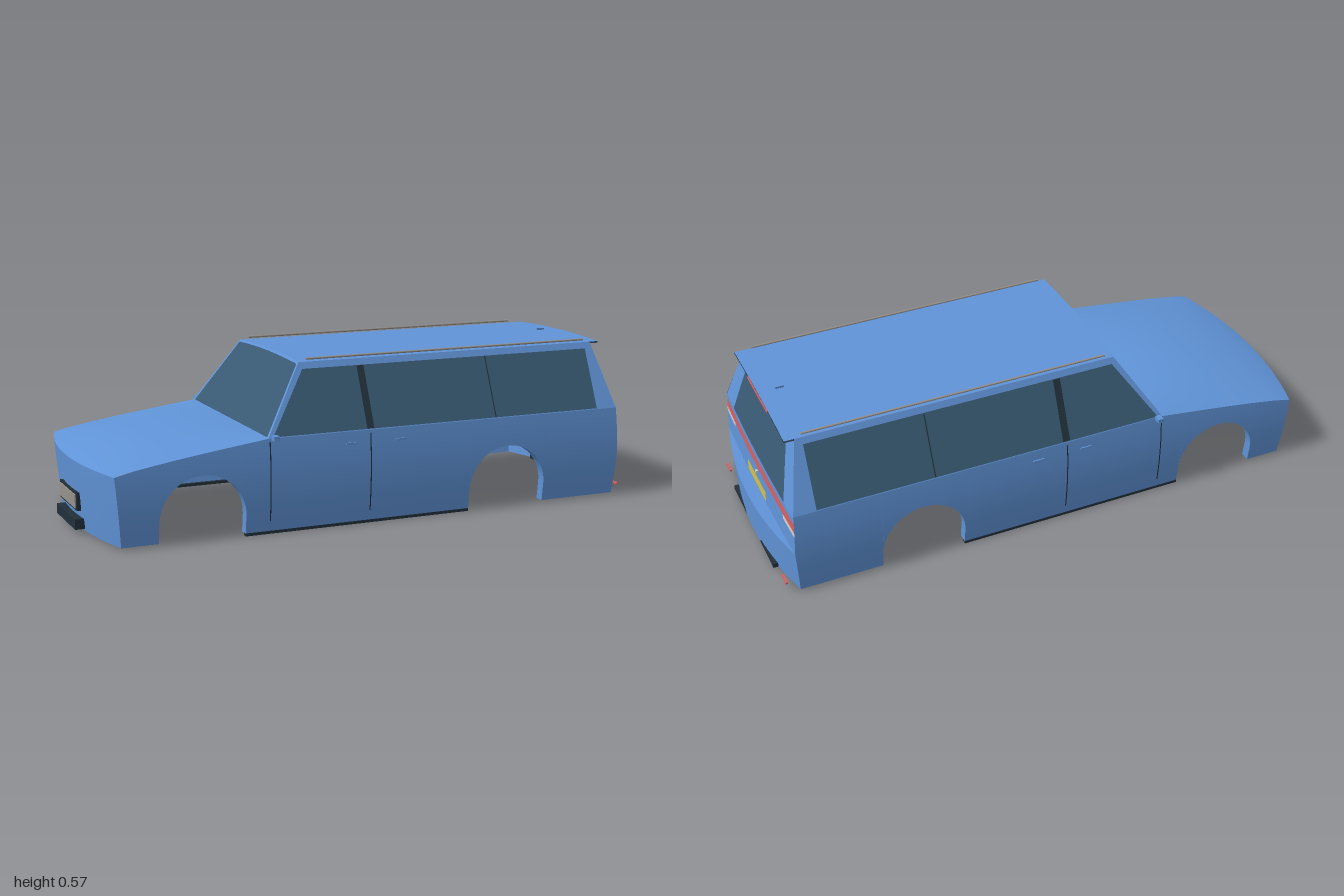
import * as THREE from 'three';

const material = (name, color) => new THREE.MeshStandardMaterial({ name, color, side: THREE.DoubleSide });

// Body outline rules
const halfWidth = y => y < 0.33 ? 0.39 - 0.44 * (y - 0.2) ** 2 : 0.3826 - 0.1026 * (y - 0.33) / 0.23;
const roofY = s => 0.56 + 0.009 * (1 - s * s);
const noseX = (s, y) => -(0.915 + 0.022 * y / 0.25) - 0.055 * (1 - s * s);
const tailEdge = y => y > 0.33 ? 0.94 - 0.055 * (y - 0.33) / 0.23
  : y > 0.18 ? 0.948 - 0.008 * (y - 0.18) / 0.15 : 0.937 + 0.011 * (y - 0.015) / 0.165;
const tailX = (s, y) => tailEdge(y) + 0.007 * (1 - s * s);
const bumperX = (s, y) => 0.937 + 0.053 * (1 - s * s) + 0.009 * y / 0.178;
const hoodEdgeY = t => 0.25 + 0.08 * Math.pow(Math.max(t, 0), 0.8);
const sideTop = x => x < -0.41 ? hoodEdgeY((x + 0.937) / 0.527) : 0.33;

export function createModel() {
  const car = new THREE.Group();
  car.name = 'estateCar';
  const paint = material('blue paint', 0x6094d8);
  const glass = material('dark glass', 0x395a74);
  const black = material('black trim', 0x22303b);
  const red = material('red lamp', 0xd45f60);
  const white = material('pale lamp', 0xd0d0cc);
  const yellow = material('yellow plate', 0xd2bd45);
  const grey = material('grey metal', 0x96918c);

  const add = (name, geometry, mat) => {
    const mesh = new THREE.Mesh(geometry, mat);
    mesh.name = name;
    car.add(mesh);
    return mesh;
  };

  // Grid surface through fn(u, v) -> [x, y, z]; us and vs list the grid lines
  const surface = (name, mat, us, vs, fn) => {
    const pos = [], index = [], n = vs.length;
    us.forEach((u, i) => vs.forEach((v, j) => {
      pos.push(...fn(u, v));
      if (i && j) {
        const d = i * n + j, c = d - 1, b = d - n, a = b - 1;
        index.push(a, c, b, b, c, d);
      }
    }));
    const g = new THREE.BufferGeometry();
    g.setAttribute('position', new THREE.Float32BufferAttribute(pos, 3));
    g.setIndex(index);
    g.computeVertexNormals();
    return add(name, g, mat);
  };
  const steps = (a, b, n) => Array.from({ length: n + 1 }, (_, i) => a + (b - a) * i / n);
  const box = (name, mat, x0, x1, y0, y1, z0, z1) => {
    const mesh = add(name, new THREE.BoxGeometry(x1 - x0, y1 - y0, Math.abs(z1 - z0)), mat);
    mesh.position.set((x0 + x1) / 2, (y0 + y1) / 2, (z0 + z1) / 2);
  };

  // Lower edge of the side panels, with the two wheel arches
  const floorY = 0.013, archR = 0.15, archY = 0.08;
  const arch = cx => [[cx - archR, floorY], ...steps(Math.PI, 0, 28).map(a =>
    [cx + archR * Math.cos(a), archY + archR * Math.sin(a)]), [cx + archR, floorY]];
  const arches = [arch(-0.64), arch(0.493)];
  const lowerEdge = [[-0.937, floorY], [-0.87, floorY], ...arches[0],
    ...steps(-0.41, 0.3, 6).map(x => [x, floorY]), ...arches[1], [0.8, floorY], [0.948, floorY]];
  const last = lowerEdge.length - 1;

  const shape = points => new THREE.Shape(points.map(p => new THREE.Vector2(...p)));
  const windowOutline = [[-0.392, 0.333], [-0.25, 0.538], [0.86, 0.538], [0.86, 0.333]];

  for (const side of [1, -1]) {
    const label = side > 0 ? 'left' : 'right';
    const sidePoint = (x, y, out = 0) => [x, y, side * (halfWidth(y) + out)];

    // Lower side panel
    surface(label + 'SidePanel', paint, lowerEdge.map((_, i) => i), steps(0, 1, 10), (i, v) => {
      const [x, y0] = lowerEdge[i];
      const y = y0 + (sideTop(x) - y0) * v;
      return sidePoint(i === 0 ? noseX(1, y) : i === last ? tailEdge(y) : x, y);
    });
    // Wheel arch lips
    arches.forEach((points, k) => surface(label + (k ? 'Rear' : 'Front') + 'ArchLip', paint,
      points.map((_, i) => i), [0, 0.035], (i, d) => sidePoint(...points[i], -d)));

    // Upper side frame and glass
    const upper = (name, mat, s) => {
      const g = new THREE.ShapeGeometry(s), p = g.attributes.position;
      for (let i = 0; i < p.count; i++) p.setZ(i, side * halfWidth(p.getY(i)));
      g.computeVertexNormals();
      add(name, g, mat);
    };
    const frame = shape([[-0.41, 0.33], [tailEdge(0.3301), 0.33], [tailEdge(0.56), 0.56], [-0.26, 0.56]]);
    frame.holes.push(new THREE.Path(windowOutline.map(p => new THREE.Vector2(...p))));
    upper(label + 'WindowFrame', paint, frame);
    upper(label + 'SideGlass', glass, shape(windowOutline));

    // Door pillar, glass divider and door gaps
    const strip = (name, x, w, y0, y1) => surface(label + name, black,
      [x - w / 2, x + w / 2], steps(y0, y1, 6), (u, y) => sidePoint(u, y, 0.002));
    strip('DoorPillar', -0.038, 0.026, 0.335, 0.537);
    strip('GlassDivider', 0.445, 0.004, 0.335, 0.537);
    strip('FrontDoorGap', -0.405, 0.004, 0.05, 0.32);
    strip('RearDoorGap', -0.04, 0.004, 0.05, 0.32);

    // Handles, mirror, sill, roof rail and reflector
    for (const x of [-0.11, 0.07])
      box(label + 'DoorHandle', paint, x - 0.02, x + 0.02, 0.285, 0.293, side * 0.383, side * 0.391);
    box(label + 'Mirror', paint, -0.4, -0.38, 0.325, 0.341, side * 0.385, side * 0.411);
    box(label + 'MirrorArm', black, -0.396, -0.386, 0.324, 0.329, side * 0.375, side * 0.39);
    box(label + 'Sill', black, -0.49, 0.343, 0.005, 0.015, side * 0.36, side * 0.376);
    const rail = add(label + 'RoofRail', new THREE.CylinderGeometry(0.004, 0.004, 1.09, 10), grey);
    rail.rotation.z = Math.PI / 2;
    rail.position.set(0.315, 0.569, side * 0.272);
    box(label + 'Reflector', red, 0.973, 0.981, 0.034, 0.041, side * 0.31, side * 0.355);
  }

  const across = steps(-1, 1, 24);

  // Nose and bonnet
  surface('nosePanel', paint, across, steps(floorY, 0.25, 6), (s, y) => [noseX(s, y), y, s * halfWidth(y)]);
  surface('bonnet', paint, across, steps(0, 1, 20), (s, t) => {
    const x0 = noseX(s, 0.25), y = hoodEdgeY(t);
    return [x0 + (-0.41 - x0) * t, y + 0.09 * t * (1 - t) * (1 - s * s), s * halfWidth(y)];
  });

  // Windscreen with its surround
  const screen = (s, v) => {
    const y = 0.33 + 0.23 * v;
    return [-0.41 + 0.15 * v, y + (roofY(s) - 0.56) * v, s * halfWidth(y)];
  };
  surface('windscreen', glass, steps(-0.965, 0.965, 16), [0.01, 0.97], screen);
  surface('windscreenTopFrame', paint, across, [0.97, 1], screen);
  surface('windscreenBaseFrame', paint, across, [0, 0.01], screen);
  for (const k of [-1, 1]) surface('windscreenPillar', paint, [k * 0.965, k], [0.01, 0.97], screen);

  // Roof with its rear lip
  surface('roof', paint, [-0.26, 0.3, 0.92], across, (x, s) => [x, roofY(s), s * 0.28]);
  surface('roofLipUnderside', black, [0.88, 0.92], across, (x, s) => [x, roofY(s) - 0.006, s * 0.28]);
  surface('roofLipEdge', black, [0, 0.006], across, (d, s) => [0.92, roofY(s) - d, s * 0.28]);
  box('highBrakeLamp', red, 0.918, 0.924, 0.56, 0.566, -0.11, 0.11);
  box('aerial', paint, 0.83, 0.86, 0.566, 0.576, -0.003, 0.003);

  // Tailgate, built in horizontal bands
  const tail = (name, mat, s0, s1, y0, y1, out = 0) => surface(name, mat, steps(s0, s1, 14), steps(y0, y1, 2),
    (s, y) => [tailX(s, y) + out, y + (y > 0.559 ? roofY(s) - 0.56 : 0), s * halfWidth(y)]);
  tail('tailgateTop', black, -1, 1, 0.553, 0.56);
  tail('rearWindow', glass, -0.75, 0.75, 0.325, 0.553);
  tail('tailgateMiddle', paint, -1, 1, 0.303, 0.325);
  tail('rearLampBand', red, -1, 1, 0.268, 0.303);
  tail('tailgateCentre', paint, -0.71, 0.71, 0.25, 0.268);
  tail('tailgateLower', paint, -1, 1, 0.178, 0.25);
  for (const k of [-1, 1]) {
    tail('rearPillar', paint, k * 0.75, k, 0.325, 0.553);
    tail('reversingLamp', white, k * 0.71, k, 0.25, 0.268);
  }
  tail('rearPlate', yellow, -0.265, 0.265, 0.195, 0.233, 0.004);
  box('tailgateLock', white, 0.95, 0.958, 0.245, 0.255, -0.005, 0.005);

  // Rear bumper with top ledge
  surface('rearBumper', paint, across, steps(floorY, 0.178, 5), (s, y) => [bumperX(s, y), y, s * halfWidth(y)]);
  surface('rearBumperLedge', paint, across, [0, 1], (s, v) =>
    [tailX(s, 0.178) * (1 - v) + bumperX(s, 0.178) * v, 0.178, s * halfWidth(0.178)]);
  box('rearBumperTrim', black, 0.955, 0.988, 0.012, 0.028, -0.234, 0.234);

  // Front plate and lower grille
  box('frontPlateFrame', black, -0.989, -0.975, 0.08, 0.142, -0.108, 0.108);
  box('frontPlate', grey, -0.993, -0.988, 0.088, 0.134, -0.1, 0.1);
  box('frontLowerGrille', black, -1, -0.955, 0.02, 0.055, -0.122, 0.122);

  return car;
}
